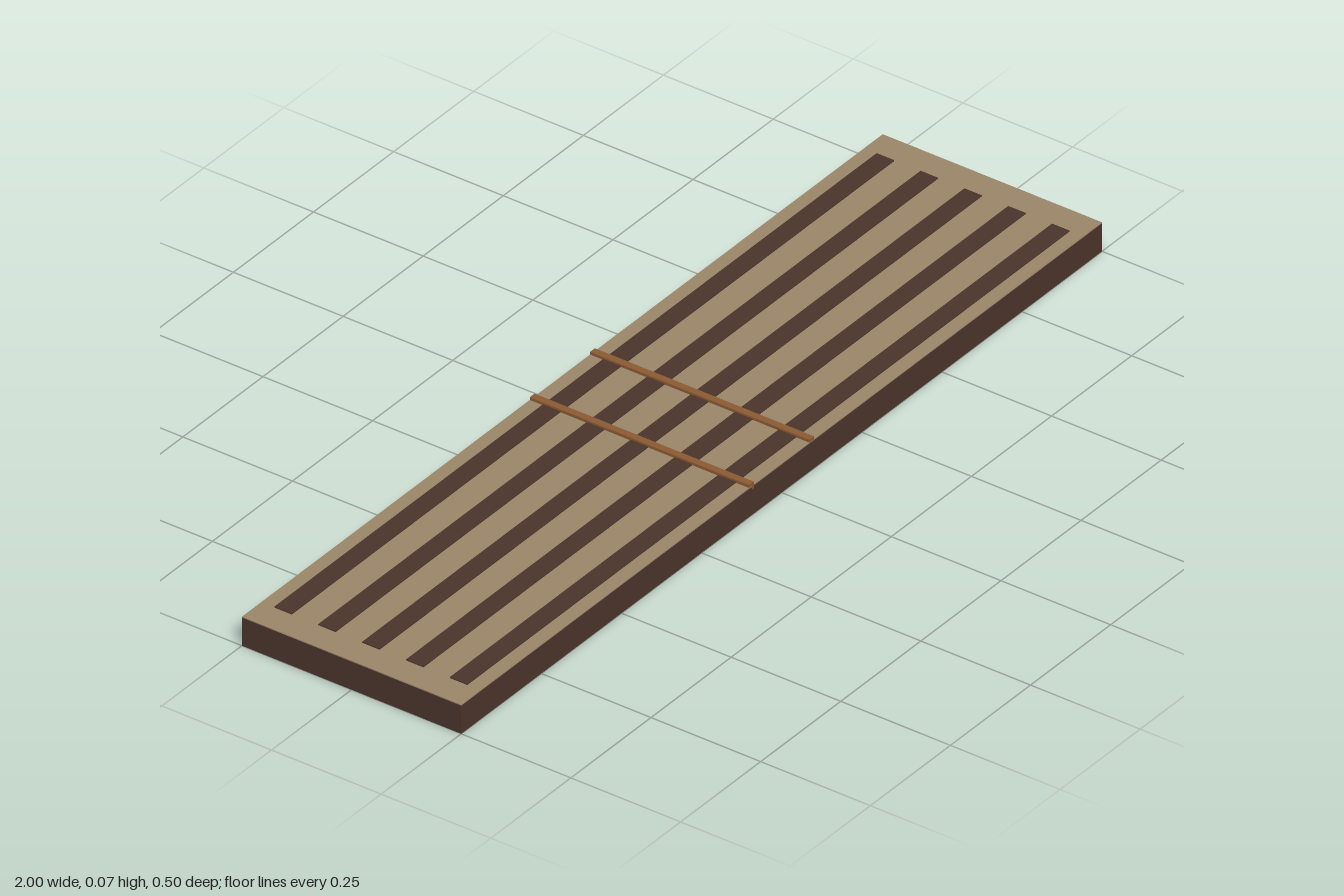
import * as THREE from 'three';

export function createModel() {
  const model = new THREE.Group();
  const mat = (name, color) => Object.assign(new THREE.MeshStandardMaterial({ color }), { name });
  const dark = mat('dark brown', 0x4a342c);
  const tan = mat('tan', 0x998568);
  const copper = mat('copper brown', 0x8b5a33);

  const L = 2, W = 0.5, H = 0.064, T = 0.005, PLATE = 0.002;

  const box = (name, material, size, pos) => {
    const mesh = new THREE.Mesh(new THREE.BoxGeometry(...size), material);
    mesh.name = name;
    mesh.position.set(...pos);
    model.add(mesh);
  };

  // Thin walls of the tray, open underneath
  const wallH = H - PLATE;
  for (const s of [-1, 1]) {
    box('sideWall', dark, [L, wallH, T], [0, wallH / 2, s * (W - T) / 2]);
    box('endWall', dark, [T, wallH, W - 2 * T], [s * (L - T) / 2, wallH / 2, 0]);
  }

  // Deck
  box('deck', tan, [L, PLATE, W], [0, H - PLATE / 2, 0]);

  // Long slats, just proud of the deck and hanging below it
  for (let i = -2; i <= 2; i++) {
    box('slat', dark, [1.88, 0.018, 0.04], [0, 0.057, i * 0.1]);
  }

  // Two cross rods
  for (const s of [-1, 1]) {
    box('crossRod', copper, [0.015, 0.015, W], [s * 0.094, 0.0625, 0]);
  }
  return model;
}
